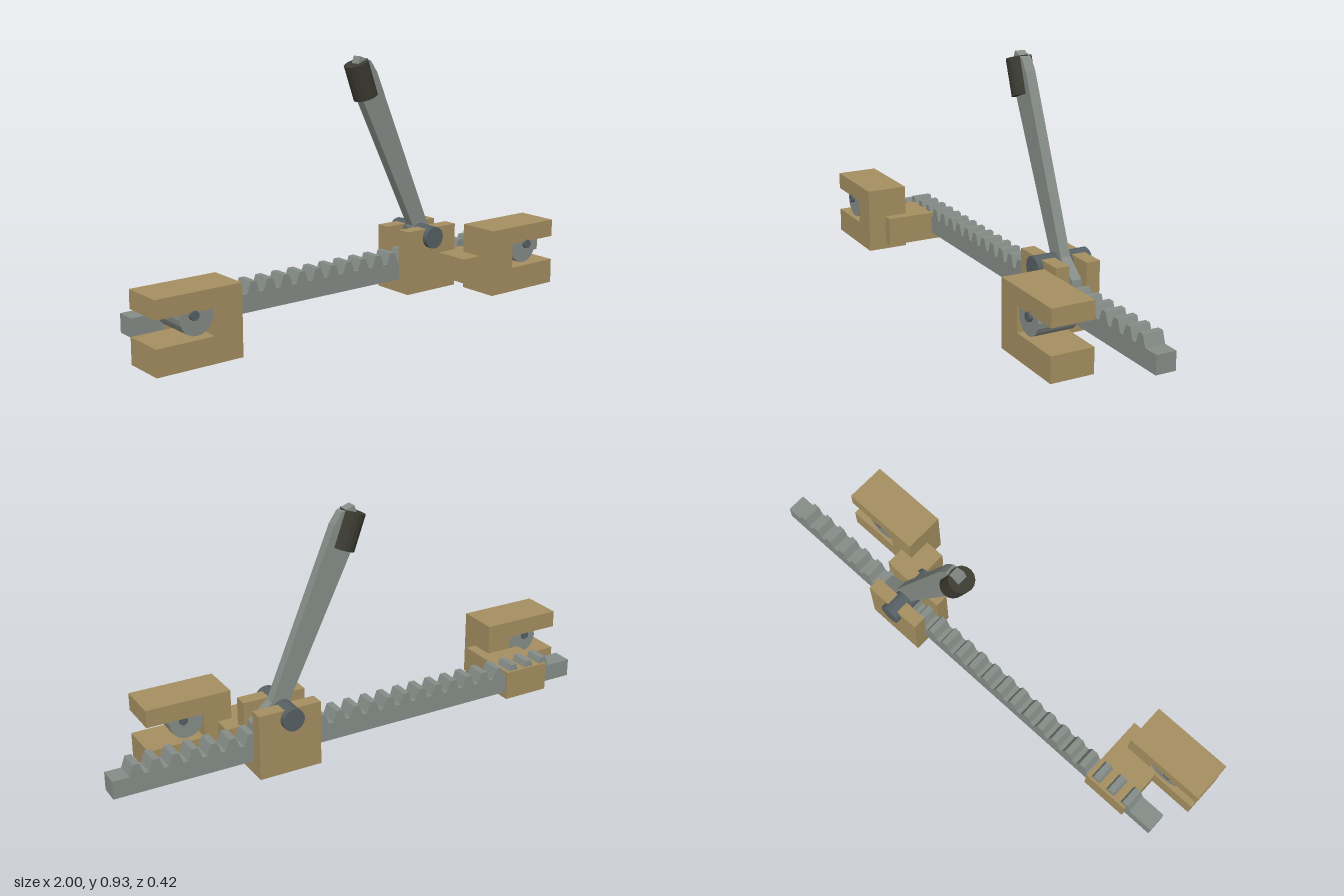
import * as THREE from 'three';

const wood = new THREE.MeshStandardMaterial({ color: 0xa58f60 });
wood.name = 'tan body';
const steel = new THREE.MeshStandardMaterial({ color: 0x868d88 });
steel.name = 'pale steel';
const darkSteel = new THREE.MeshStandardMaterial({ color: 0x566064 });
darkSteel.name = 'dark steel';
const rubber = new THREE.MeshStandardMaterial({ color: 0x3b3b32 });
rubber.name = 'dark grip';

function add(parent, name, geometry, material) {
  const mesh = new THREE.Mesh(geometry, material);
  mesh.name = name;
  parent.add(mesh);
  return mesh;
}

// Box given by its limits on each axis
function box(x0, x1, y0, y1, z0, z1) {
  return new THREE.BoxGeometry(x1 - x0, y1 - y0, z1 - z0)
    .translate((x0 + x1) / 2, (y0 + y1) / 2, (z0 + z1) / 2);
}

// Side outline in x, y extruded from z0 to z1
function slab(points, z0, z1) {
  const shape = new THREE.Shape(points.map(([x, y]) => new THREE.Vector2(x, y)));
  return new THREE.ExtrudeGeometry(shape, { depth: z1 - z0, bevelEnabled: false }).translate(0, 0, z0);
}

// Faceted cylinder along z
function rod(x, y, r, z0, z1, sides = 20) {
  const g = new THREE.CylinderGeometry(r, r, z1 - z0, sides).toNonIndexed();
  g.computeVertexNormals();
  return g.rotateX(Math.PI / 2).translate(x, y, (z0 + z1) / 2);
}

// Slotted jaw with its cam and pin; dir is the side the slot opens to
function makeJaw(name, closedX, dir) {
  const jaw = new THREE.Group();
  jaw.name = name;
  const X = (d) => closedX + dir * d;
  add(jaw, 'jawBody', slab([
    [X(0), 0], [X(0.327), 0], [X(0.327), 0.095], [X(0.108), 0.095],
    [X(0.108), 0.19], [X(0.327), 0.19], [X(0.327), 0.257], [X(0), 0.257],
  ], 0.038, 0.202), wood);
  add(jaw, 'cam', rod(X(0.172), 0.171, 0.064, 0.046, 0.196), steel);
  add(jaw, 'camPin', rod(X(0.185), 0.18, 0.017, 0.04, 0.209, 12), darkSteel);
  return jaw;
}

export function createModel() {
  const model = new THREE.Group();
  model.name = 'rackClamp';

  // Toothed rack
  const outline = [[-0.942, 0.053], [1, 0.053], [1, 0.122]];
  const pitch = 0.0718;
  for (let i = 0; i < 25; i++) {
    const x = 0.912 - i * pitch;
    outline.push([x + 0.027, 0.122], [x + 0.012, 0.164], [x - 0.012, 0.164], [x - 0.027, 0.122]);
  }
  outline.push([-0.942, 0.122]);
  add(model, 'rack', slab(outline, -0.14, -0.063), steel);

  // Fixed jaw and its bracket around the rack
  model.add(makeJaw('fixedJaw', -0.673, -1));
  add(model, 'fixedBracket', box(-0.82, -0.63, 0.026, 0.14, -0.15, 0.038), wood);
  add(model, 'fixedBracketTab', box(-0.7, -0.63, 0.026, 0.14, 0.038, 0.13), wood);

  // Sliding jaw and the block joining it to the housing
  model.add(makeJaw('slidingJaw', 0.475, 1));
  add(model, 'slidingBracket', box(0.39, 0.53, 0.05, 0.145, -0.038, 0.038), wood);
  add(model, 'slidingBracketTab', box(0.39, 0.5, 0.05, 0.145, 0.038, 0.13), wood);

  // Sliding housing with a channel for the rack and lever
  const housing = slab([
    [-0.012, 0], [0.19, 0], [0.19, 0.25], [0.136, 0.25],
    [0.136, 0.05], [0.066, 0.05], [0.066, 0.25], [0.012, 0.25], [0.012, 0],
  ].slice(1), 0.228, 0.473);
  housing.rotateY(Math.PI / 2);
  add(model, 'housing', housing, wood);

  // Axle
  add(model, 'axle', rod(0.347, 0.215, 0.043, -0.212, 0.01), darkSteel);

  // Lever with a pawl toe that reaches the teeth
  add(model, 'lever', slab([
    [0.05, 0.933], [0.022, 0.86], [0.06, 0.773], [0.313, 0.252], [0.315, 0.19], [0.35, 0.172],
    [0.44, 0.165], [0.47, 0.15], [0.465, 0.19], [0.388, 0.252], [0.13, 0.87], [0.1, 0.914],
  ], -0.12, -0.081), steel);

  // Grip
  const gripShape = new THREE.CylinderGeometry(0.0475, 0.0475, 0.138, 16).toNonIndexed();
  gripShape.computeVertexNormals();
  const grip = add(model, 'grip', gripShape, rubber);
  grip.position.set(0.067, 0.842, -0.1);
  grip.rotation.z = 0.34;

  return model;
}
